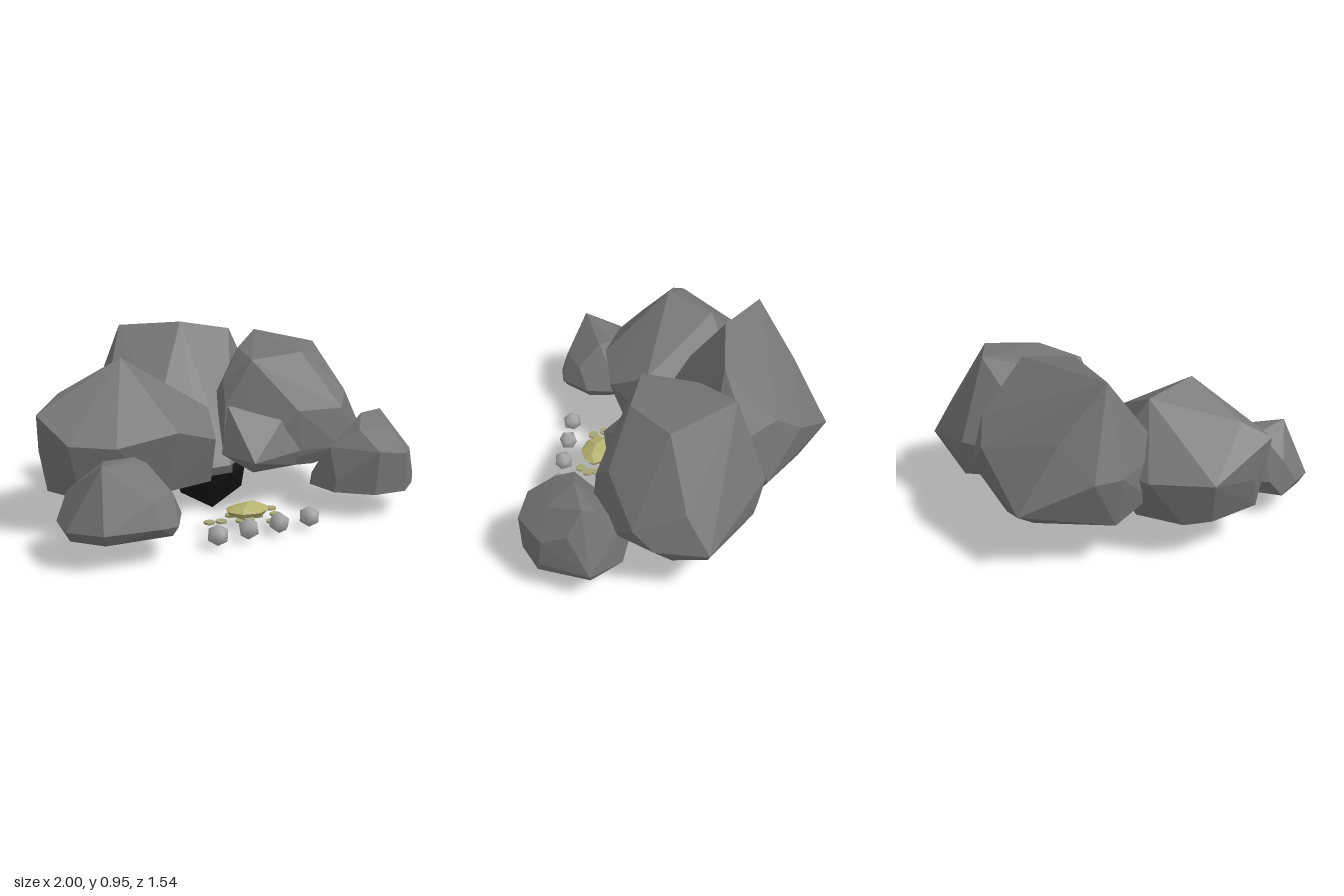
import * as THREE from 'three';
import { ConvexGeometry } from 'three/addons/geometries/ConvexGeometry.js';
import { mergeVertices } from 'three/addons/utils/BufferGeometryUtils.js';

const mat = (name, color) => {
  const m = new THREE.MeshStandardMaterial({ color });
  m.name = name;
  return m;
};

export function createModel() {
  const model = new THREE.Group();
  model.name = 'rockCave';
  const stone = mat('stone grey', 0x757575);
  const dark = mat('cave black', 0x111111);
  const gold = mat('pale gold', 0xb3b06e);
  const coinGold = mat('dull gold', 0xa6a476);
  const pale = mat('pale grey', 0xa8a8a8);

  const add = (name, geometry, material, x = 0, y = 0, z = 0) => {
    const mesh = new THREE.Mesh(geometry, material);
    mesh.name = name;
    mesh.position.set(x, y, z);
    model.add(mesh);
    return mesh;
  };
  // Faceted boulder: convex skin around a few corner points
  const boulder = (name, material, points) =>
    add(name, new ConvexGeometry(points.map(p => new THREE.Vector3(...p))), material);

  boulder('backBoulder', stone, [
    // crown
    [0, 0.955, -0.21], [-0.28, 0.935, -0.39], [0.31, 0.9, -0.21],
    // shoulders
    [-0.13, 0.66, -0.585], [0.39, 0.66, -0.47], [-0.42, 0.5, -0.48], [-0.47, 0.55, -0.18],
    [-0.33, 0.5, -0.6], [0.31, 0.55, -0.6], [0.47, 0.61, -0.33], [0.46, 0.55, -0.15], [-0.27, 0.5, 0.03],
    // belt
    [-0.01, 0.33, -0.775], [0.5, 0.35, -0.44], [-0.47, 0.33, -0.3], [0.1, 0.33, 0.18], [-0.1, 0.32, 0.2],
    // flat base
    [-0.02, 0.24, -0.65], [0.16, 0.24, -0.62], [0.42, 0.24, -0.42], [-0.38, 0.24, -0.48], [-0.4, 0.24, -0.1],
    [0.4, 0.24, 0], [-0.07, 0.25, 0.24], [0.05, 0.25, 0.24],
  ]);
  boulder('rightBoulder', stone, [
    // crown
    [-0.5, 0.84, 0.1], [-0.38, 0.78, -0.14], [-0.8, 0.68, 0.03],
    // shoulders
    [-0.94, 0.6, 0.1], [-0.37, 0.52, 0.455], [-0.14, 0.45, 0.41], [-0.06, 0.56, 0.2], [-0.15, 0.575, 0.2],
    [-0.07, 0.35, 0.26], [-0.67, 0.47, 0.41], [-0.86, 0.48, 0.29],
    [-0.8, 0.46, -0.27], [-0.5, 0.45, -0.38], [-0.2, 0.45, -0.3], [-0.9, 0.4, 0],
    // flat base
    [-0.89, 0.215, 0.08], [-0.8, 0.215, 0.28], [-0.4, 0.215, 0.38], [-0.12, 0.215, 0.33],
    [-0.11, 0.215, 0], [-0.4, 0.215, -0.3], [-0.65, 0.215, -0.28], [-0.76, 0.215, -0.18],
  ]);
  boulder('leftBoulder', stone, [
    // crown
    [0.52, 0.875, -0.27], [0.716, 0.83, 0.03], [0.49, 0.81, 0.23], [0.2, 0.785, 0.2], [0.3, 0.81, -0.09],
    // shoulders
    [0.1, 0.67, 0.08], [0.06, 0.55, 0.17], [0.4, 0.52, 0.35], [0.65, 0.52, 0.39], [0.72, 0.6, 0.32],
    [0.9, 0.5, -0.05], [0.91, 0.4, 0.2], [0.57, 0.44, -0.42],
    // belt
    [0.03, 0.31, 0.2], [0.42, 0.31, 0.365], [0.63, 0.32, 0.42], [0.83, 0.31, 0.31],
    [0.95, 0.31, 0.1], [0.97, 0.31, -0.16], [0.6, 0.31, -0.39], [0.12, 0.35, -0.25],
    // flat base
    [0.15, 0.225, 0.28], [0.5, 0.225, 0.35], [0.78, 0.225, 0.25], [0.93, 0.24, 0.02],
    [0.92, 0.24, -0.15], [0.6, 0.225, -0.37], [0.2, 0.225, -0.22],
  ]);
  // Jutting toe of the left boulder beside the cave mouth
  boulder('leftBoulderToe', stone, [
    [0.08, 0.3, 0.43], [0.42, 0.31, 0.36], [0.07, 0.55, 0.18], [0.35, 0.5, 0.3], [0.01, 0.31, 0.22],
    [0.1, 0.24, 0.38], [0.2, 0.225, 0.1], [0.4, 0.225, 0.33],
  ]);
  boulder('rightSmallRock', stone, [
    // crown
    [-0.84, 0.468, 0.63], [-0.76, 0.44, 0.46], [-0.6, 0.435, 0.45], [-0.57, 0.42, 0.52],
    // shoulders
    [-0.92, 0.32, 0.42], [-0.65, 0.3, 0.73], [-0.5, 0.3, 0.64],
    // belt
    [-1, 0.19, 0.6], [-0.99, 0.2, 0.46], [-0.88, 0.22, 0.34], [-0.88, 0.19, 0.73], [-0.63, 0.19, 0.77],
    [-0.53, 0.18, 0.75], [-0.43, 0.18, 0.59], [-0.43, 0.18, 0.4], [-0.65, 0.2, 0.3],
    // flat base
    [-0.97, 0.135, 0.57], [-0.94, 0.135, 0.38], [-0.86, 0.135, 0.7], [-0.55, 0.135, 0.73],
    [-0.45, 0.135, 0.58], [-0.46, 0.135, 0.4], [-0.65, 0.135, 0.32],
  ]);
  boulder('leftSmallRock', stone, [
    // crown
    [0.7, 0.507, 0.49], [0.88, 0.5, 0.43], [0.86, 0.475, 0.37], [0.6, 0.45, 0.6], [0.8, 0.44, 0.61],
    // shoulders
    [0.94, 0.38, 0.5], [0.47, 0.36, 0.53], [0.62, 0.36, 0.74], [0.78, 0.34, 0.76], [0.92, 0.32, 0.63],
    [0.85, 0.32, 0.28],
    // belt
    [1, 0.18, 0.4], [0.93, 0.19, 0.65], [0.46, 0.2, 0.6], [0.44, 0.2, 0.42], [0.65, 0.2, 0.22],
    // flat base
    [0.98, 0.14, 0.4], [0.92, 0.14, 0.66], [0.78, 0.14, 0.76], [0.6, 0.14, 0.74],
    [0.45, 0.14, 0.6], [0.43, 0.14, 0.42], [0.65, 0.14, 0.25], [0.86, 0.14, 0.26],
  ]);

  // Cave mouth: thin faceted wedge tapering to a point below
  boulder('caveMouth', dark, [
    [-0.235, 0.21, 0.16], [-0.2, 0.12, 0.16], [-0.01, 0.008, 0.16], [0.17, 0.1, 0.16], [0.19, 0.21, 0.16],
    [-0.15, 0.3, 0.16], [0.12, 0.3, 0.16],
    [-0.1, 0.2, 0.212], [0.08, 0.2, 0.212], [-0.1, 0.2, 0.11], [0.08, 0.2, 0.11],
    [-0.01, 0.14, 0.205], [-0.01, 0.14, 0.116],
  ]);

  // Gold nugget
  boulder('goldNugget', gold, [
    [0, 0.137, 0.495], [-0.06, 0.12, 0.46], [-0.05, 0.118, 0.53], [0.07, 0.118, 0.51], [0.05, 0.12, 0.45],
    [-0.12, 0.1, 0.5], [-0.1, 0.1, 0.44], [-0.05, 0.1, 0.42], [0.04, 0.1, 0.42], [0.1, 0.1, 0.45],
    [0.115, 0.095, 0.49], [0.08, 0.095, 0.55], [0.01, 0.095, 0.575], [-0.07, 0.095, 0.555],
    [-0.09, 0.065, 0.46], [0.08, 0.065, 0.46], [0.05, 0.065, 0.54], [-0.06, 0.065, 0.54],
  ]);

  // Scattered coins
  const coin = new THREE.CylinderGeometry(0.028, 0.028, 0.01, 12);
  [
    [-0.21, 0.055, 0.47], [-0.195, 0.04, 0.535], [0.15, 0.068, 0.47], [0.14, 0.055, 0.525], [0.09, 0.04, 0.57],
    [0, 0.068, 0.415], [-0.065, 0.055, 0.43], [-0.13, 0.04, 0.45], [-0.035, 0.068, 0.55], [0.05, 0.055, 0.5],
    [-0.04, 0.04, 0.49], [0.03, 0.04, 0.45],
  ].forEach((p, i) => add(`coin${i + 1}`, coin, coinGold, ...p));

  // Row of smooth-shaded pebbles, each a twenty-sided ball standing on a corner
  const ball = new THREE.IcosahedronGeometry(0.054, 0);
  ball.rotateX(-Math.atan((1 + Math.sqrt(5)) / 2));
  ball.deleteAttribute('normal');
  ball.deleteAttribute('uv');
  const pebble = mergeVertices(ball);
  pebble.computeVertexNormals();
  [-0.28, -0.11, 0.065, 0.245].forEach((x, i) => {
    add(`pebble${i + 1}`, pebble, pale, x, 0.068, 0.668).rotation.y = i * 0.4;
  });
  return model;
}
